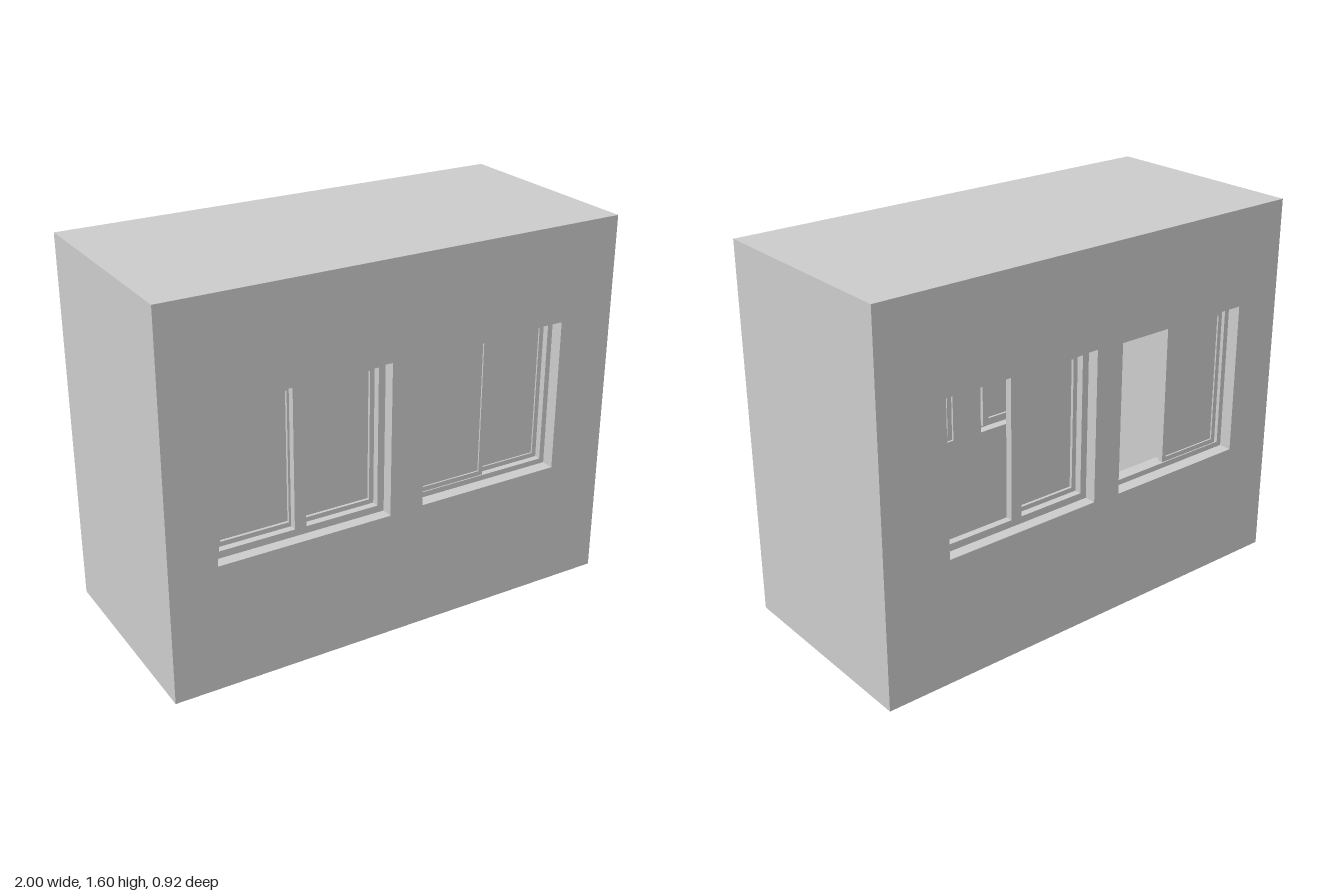
import * as THREE from 'three';

const W = 2, H = 1.6, D = 0.92, WALL = 0.12, SLAB = 0.05;
const mat = new THREE.MeshStandardMaterial({ color: 0xcccccc });

function add(parent, name, geometry, x = 0, y = 0, z = 0) {
  const mesh = new THREE.Mesh(geometry, mat);
  mesh.name = name;
  mesh.position.set(x, y, z);
  parent.add(mesh);
  return mesh;
}

function rect(target, x0, y0, x1, y1) {
  target.moveTo(x0, y0).lineTo(x1, y0).lineTo(x1, y1).lineTo(x0, y1).closePath();
  return target;
}

// Flat plate with rectangular holes, from z = 0 forward to depth
function plate(outer, holes, depth) {
  const shape = rect(new THREE.Shape(), ...outer);
  for (const h of holes) shape.holes.push(rect(new THREE.Path(), ...h));
  return new THREE.ExtrudeGeometry(shape, { depth, bevelEnabled: false });
}

// Glazed panel whose left edge is at its local x = 0 and whose front is at z = 0
function makeSash(w, h, border, depth, glassInset) {
  const sash = new THREE.Group();
  sash.name = 'sash';
  const y = h / 2;
  add(sash, 'sashFrame', plate([0, -y, w, y], [[border, -y + border, w - border, y - border]], depth), 0, 0, -depth);
  add(sash, 'glass', new THREE.BoxGeometry(w - 2 * border, h - 2 * border, 0.006), w / 2, 0, -glassInset - 0.003);
  return sash;
}

// Two hinged sashes behind a frame with a central mullion
function makeCasement(w, h, open) {
  const win = new THREE.Group();
  win.name = 'casementWindow';
  const b = 0.03, m = 0.025, x = w / 2, y = h / 2;
  const holes = [[-x + b, -y + b, -m, y - b], [m, -y + b, x - b, y - b]];
  add(win, 'frame', plate([-x, -y, x, y], holes, 0.03), 0, 0, -0.08);
  const sw = x - 0.024, sh = h - 0.04;
  const left = makeSash(sw, sh, 0.03, 0.03, 0.012);
  left.position.set(-x + 0.02, 0, -0.08);
  if (open) left.rotation.y = Math.PI / 2; // swung into the room
  const right = makeSash(sw, sh, 0.03, 0.03, 0.012);
  right.position.set(0.004, 0, -0.08);
  win.add(left, right);
  return win;
}

// Two sashes running in parallel tracks
function makeSlider(w, h, open) {
  const win = new THREE.Group();
  win.name = 'slidingWindow';
  const b = 0.023, x = w / 2, y = h / 2;
  add(win, 'frame', plate([-x, -y, x, y], [[-x + b, -y + b, x - b, y - b]], 0.055), 0, 0, -0.11);
  const sw = x - b + 0.01, sh = h - 2 * b;
  const left = makeSash(sw, sh, 0.02, 0.02, 0.007);
  left.position.set(open ? x - b - sw - 0.012 : -x + b, 0, -0.06);
  const right = makeSash(sw, sh, 0.02, 0.02, 0.007);
  right.position.set(x - b - sw, 0, -0.082);
  win.add(left, right);
  return win;
}

export function createModel() {
  const model = new THREE.Group();
  model.name = 'roomWithWindows';

  // Each opening: left, bottom, right, top
  const sides = [
    { name: 'front', dir: 1, open: false, casement: [-0.8, 0.54, -0.05, 1.19], slider: [0.1, 0.545, 0.75, 1.195] },
    { name: 'back', dir: -1, open: true, casement: [0, 0.54, 0.71, 1.19], slider: [-0.78, 0.535, -0.13, 1.185] },
  ];

  for (const s of sides) {
    const wall = plate([-W / 2, 0, W / 2, H], [s.casement, s.slider], WALL);
    add(model, s.name + 'Wall', wall, 0, 0, s.dir > 0 ? D / 2 - WALL : -D / 2);
    for (const [hole, make] of [[s.casement, makeCasement], [s.slider, makeSlider]]) {
      const [x0, y0, x1, y1] = hole;
      const win = make(x1 - x0, y1 - y0, s.open);
      win.name = s.name + win.name[0].toUpperCase() + win.name.slice(1);
      win.position.set((x0 + x1) / 2, (y0 + y1) / 2, s.dir * D / 2);
      if (s.dir < 0) win.rotation.y = Math.PI;
      model.add(win);
    }
  }

  // End walls, floor and roof close the hollow room
  const innerD = D - 2 * WALL, innerW = W - 2 * WALL;
  for (const [name, sx] of [['leftWall', 1], ['rightWall', -1]]) {
    add(model, name, new THREE.BoxGeometry(WALL, H, innerD), sx * (W - WALL) / 2, H / 2, 0);
  }
  for (const [name, y] of [['floor', SLAB / 2], ['roof', H - SLAB / 2]]) {
    add(model, name, new THREE.BoxGeometry(innerW, SLAB, innerD), 0, y, 0);
  }
  return model;
}
